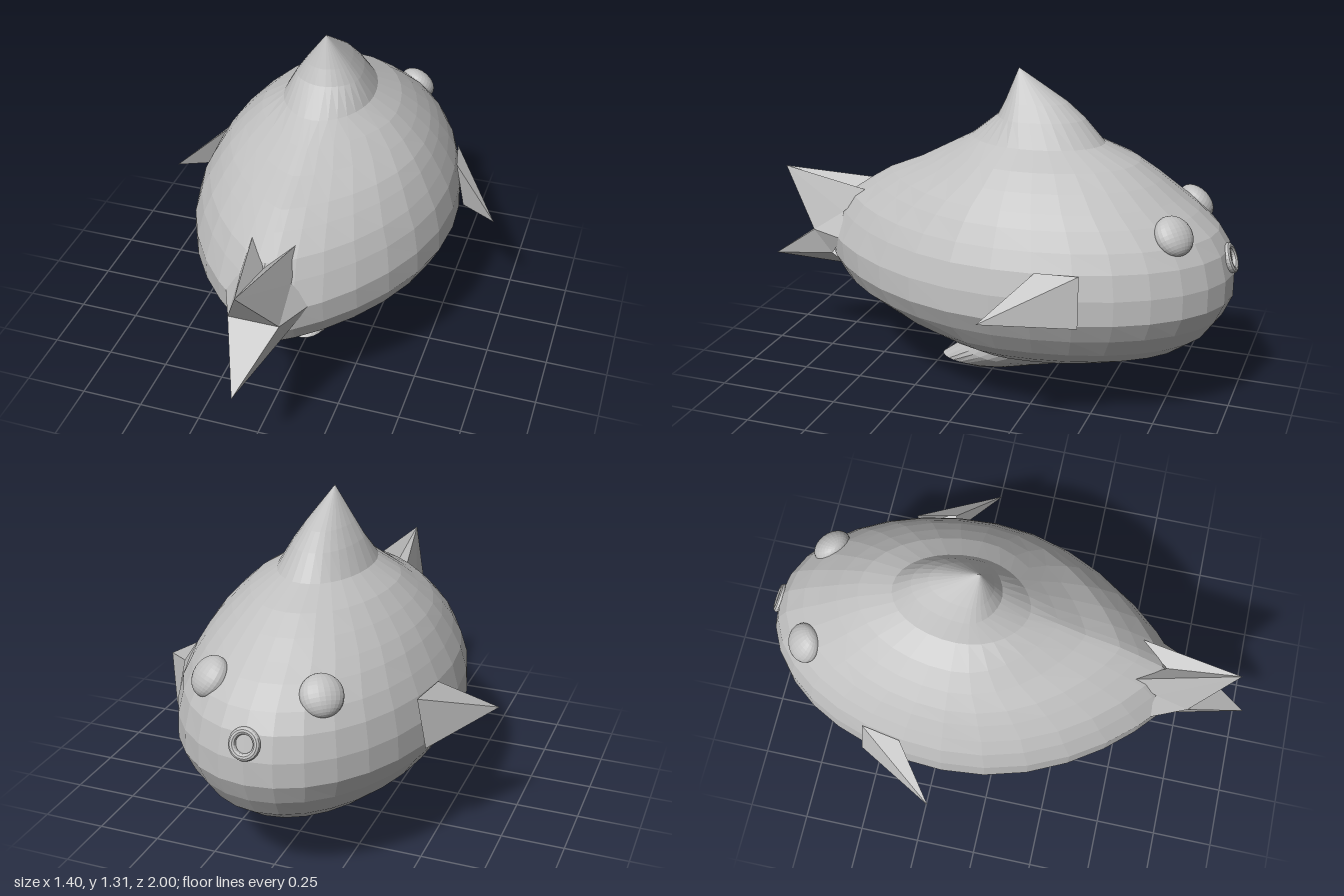
import * as THREE from 'three';

const skin = new THREE.MeshStandardMaterial({ color: 0xc0c0c0, flatShading: true, side: THREE.DoubleSide });
skin.name = 'plain grey';
const smoothSkin = skin; // one colour for the whole fish

function addMesh(parent, name, geometry) {
  const mesh = new THREE.Mesh(geometry, smoothSkin);
  mesh.name = name;
  parent.add(mesh);
  return mesh;
}

// Horizontal rings, bottom to top: [y, head z, widest z, tail z, half width]
const RINGS = [
  [0.005, 0.06, 0.06, 0.06, 0],
  [0.055, -0.14, 0.06, 0.22, 0.09],
  [0.13, -0.37, -0.08, 0.12, 0.175],
  [0.18, -0.46, -0.17, 0.08, 0.21],
  [0.21, -0.67, -0.17, 0.18, 0.29],
  [0.26, -0.82, -0.17, 0.32, 0.37],
  [0.32, -0.9, -0.17, 0.5, 0.44],
  [0.4, -0.955, -0.17, 0.67, 0.495],
  [0.48, -0.99, -0.17, 0.72, 0.535],
  [0.575, -0.99, -0.17, 0.73, 0.53],
  [0.67, -0.965, -0.17, 0.67, 0.505],
  [0.74, -0.92, -0.17, 0.62, 0.47],
  [0.81, -0.84, -0.17, 0.52, 0.43],
  [0.86, -0.77, -0.17, 0.44, 0.395],
  [0.92, -0.69, -0.17, 0.3, 0.34],
  [0.98, -0.6, -0.17, 0.19, 0.275],
  [1.04, -0.46, -0.17, 0.08, 0.18],
  [1.13, -0.38, -0.15, -0.03, 0.13],
  [1.19, -0.31, -0.14, -0.06, 0.09],
  [1.315, -0.11, -0.11, -0.11, 0],
];

// Egg-shaped loft: round at the head, tapering at the tail
function bodyGeometry(sides = 32) {
  const pos = [], index = [];
  for (const [y, head, mid, tail, w] of RINGS) {
    for (let j = 0; j < sides; j++) {
      const a = (j / sides) * Math.PI * 2;
      const c = Math.cos(a), s = Math.sin(a);
      const power = c > 0 ? (y > 0.2 && y < 1.04 ? 1.6 : 1.1) : 1;
      const x = w * Math.sign(s) * Math.pow(Math.abs(s), power);
      pos.push(x, y, mid + c * (c > 0 ? tail - mid : mid - head));
    }
  }
  const last = RINGS.length - 2;
  for (let i = 0; i <= last; i++) {
    for (let j = 0; j < sides; j++) {
      const k = (j + 1) % sides;
      const a = i * sides + j, b = i * sides + k, c = b + sides, d = a + sides;
      if (i > 0) index.push(a, b, d);
      if (i < last) index.push(b, c, d);
      else if (i === 0) index.push(a, c, d);
    }
    if (i === 0) for (let j = 0; j < sides; j++) index.push(j, sides + ((j + 1) % sides), sides + j);
  }
  const g = new THREE.BufferGeometry();
  g.setAttribute('position', new THREE.Float32BufferAttribute(pos, 3));
  g.setIndex(index);
  g.computeVertexNormals();
  return g;
}

// Faceted spike: a loop of base points (counterclockwise seen from the tip) joined to a tip
function spikeGeometry(base, tip) {
  const pos = [];
  base.forEach((p, i) => pos.push(...p, ...base[(i + 1) % base.length], ...tip));
  const g = new THREE.BufferGeometry();
  g.setAttribute('position', new THREE.Float32BufferAttribute(pos, 3));
  g.computeVertexNormals();
  return g;
}

export function createModel() {
  const fish = new THREE.Group();
  fish.name = 'fish';

  // Body with the back fin and belly fin drawn out of it
  addMesh(fish, 'body', bodyGeometry());

  // Forked tail
  addMesh(fish, 'upperTail', spikeGeometry([
    [-0.1, 0.575, 0.76], [0.1, 0.575, 0.76], [0.1, 0.67, 0.62], [0.09, 0.77, 0.5],
    [0, 0.73, 0.64], [-0.09, 0.77, 0.5], [-0.1, 0.67, 0.62],
  ], [0, 0.81, 0.93]));
  addMesh(fish, 'lowerTail', spikeGeometry([
    [0.1, 0.575, 0.76], [-0.1, 0.575, 0.76], [-0.1, 0.48, 0.68], [0, 0.4, 0.67], [0.1, 0.48, 0.68],
  ], [0, 0.405, 1.0]));
  // Flanks joining the tail root to the body
  for (const s of [-1, 1]) {
    addMesh(fish, s > 0 ? 'leftTailRoot' : 'rightTailRoot', spikeGeometry([
      [s * 0.1, 0.48, 0.68], [s * 0.1, 0.575, 0.76], [s * 0.1, 0.67, 0.62],
    ], [s * 0.17, 0.575, 0.6]));
  }

  for (const s of [-1, 1]) {
    const side = s > 0 ? 'left' : 'right';

    // Swept side fin
    const base = [[0.47, 0.67, -0.5], [0.51, 0.48, -0.51], [0.54, 0.48, -0.34], [0.5, 0.675, -0.34]]
      .map(([x, y, z]) => [s * x, y, z]);
    if (s > 0) base.reverse();
    addMesh(fish, side + 'Fin', spikeGeometry(base, [s * 0.7, 0.53, -0.185]));

    // Domed eye
    const eye = addMesh(fish, side + 'Eye', new THREE.SphereGeometry(0.08, 24, 16));
    eye.scale.z = 0.65;
    eye.position.set(s * 0.215, 0.775, -0.79);
    eye.lookAt(s * 0.665, 1.4, -1.4);
  }

  // Round lips
  const mouth = addMesh(fish, 'mouth', new THREE.TorusGeometry(0.047, 0.014, 10, 24));
  mouth.position.set(0, 0.635, -0.973);
  mouth.lookAt(0, 0.985, -1.91);

  return fish;
}
